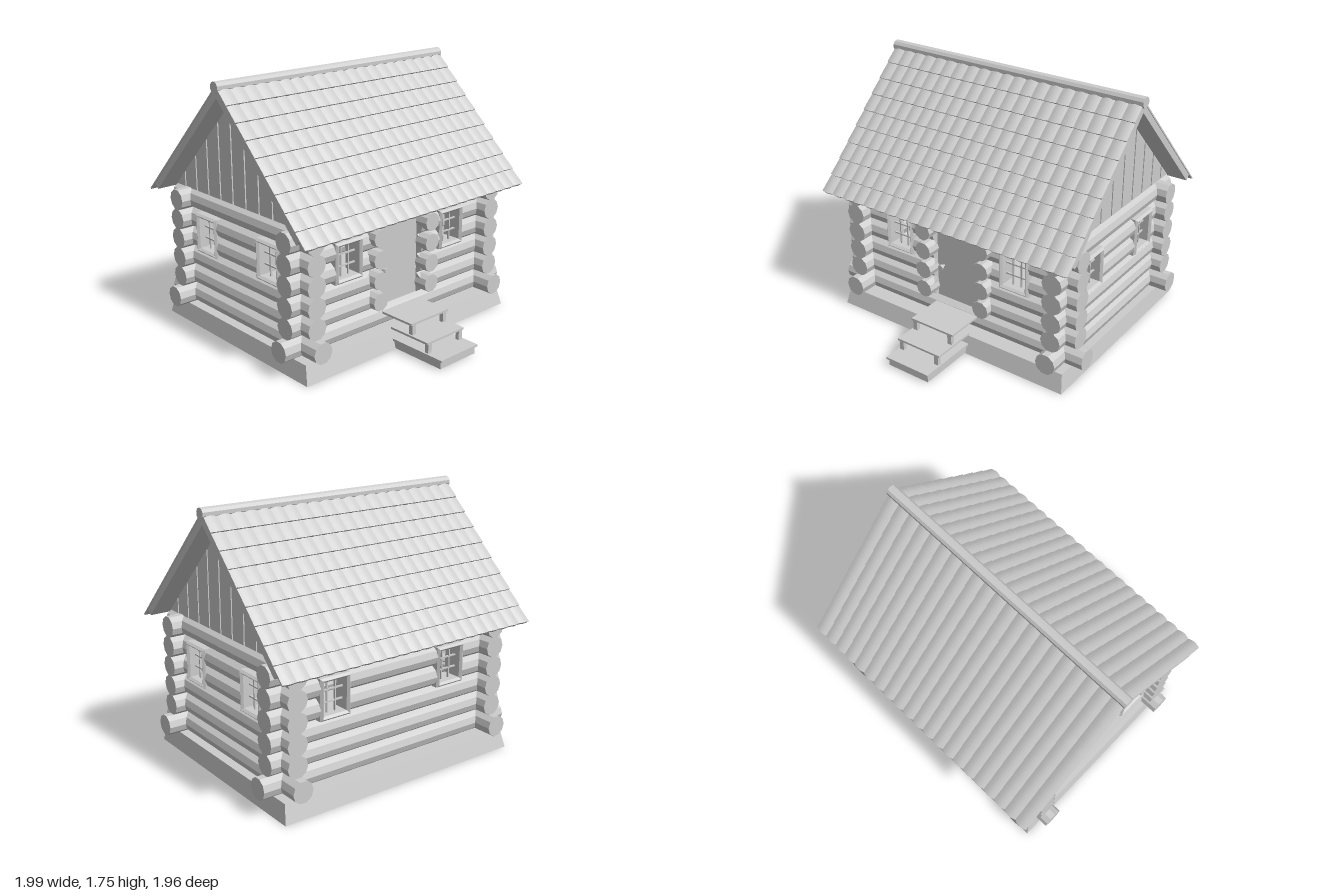
import * as THREE from 'three';

const timber = new THREE.MeshStandardMaterial({ color: 0xcccccc, flatShading: true });
timber.name = 'pale grey';
const shade = new THREE.MeshStandardMaterial({ color: 0x666666 });
shade.name = 'dark grey';

const CX = -0.16;                    // middle of the house in x
const WALL_X = 0.567, WALL_Z = 0.79; // wall centre lines from the middle
const LOG_R = 0.0715, PITCH = 0.136, LOG_Y = 0.188;
const APEX = 1.645;                  // underside of the roof at the ridge

function add(parent, name, geometry, x = 0, y = 0, z = 0, material = timber) {
  const mesh = new THREE.Mesh(geometry, material);
  mesh.name = name;
  mesh.position.set(x, y, z);
  parent.add(mesh);
  return mesh;
}

// box given by its limits
function block(parent, name, x0, x1, y0, y1, z0, z1) {
  return add(parent, name, new THREE.BoxGeometry(x1 - x0, y1 - y0, z1 - z0),
    (x0 + x1) / 2, (y0 + y1) / 2, (z0 + z1) / 2);
}

// log lying along x from a to b
function log(parent, name, a, b, y, z = 0, r = LOG_R) {
  const g = new THREE.CylinderGeometry(r, r, b - a, 10).rotateZ(Math.PI / 2);
  return add(parent, name, g, (a + b) / 2, y, z);
}

// deep window frame with chamfered edges and glazing bars, facing +z
function makeWindow() {
  const g = new THREE.Group();
  g.name = 'window';
  const rect = (C, w, h) => new C([[-w, -h], [w, -h], [w, h], [-w, h]].map(p => new THREE.Vector2(...p)));
  const s = rect(THREE.Shape, 0.1, 0.122);
  s.holes.push(rect(THREE.Path, 0.1, 0.122));
  s.holes[0] = rect(THREE.Path, 0.098, 0.12);
  const frame = new THREE.ExtrudeGeometry(s, {
    depth: 0.13, bevelEnabled: true, bevelSize: 0.013, bevelThickness: 0.015, bevelSegments: 1
  });
  add(g, 'windowFrame', frame, 0, 0, -0.065);
  for (const k of [-1, 1]) {
    add(g, 'verticalBar', new THREE.BoxGeometry(0.009, 0.23, 0.012), k * 0.031, 0, 0.02);
    add(g, 'horizontalBar', new THREE.BoxGeometry(0.19, 0.009, 0.012), 0, k * 0.039, 0.02);
  }
  return g;
}

// one log wall along local x, facing local +z
function makeWall(name, half, windows, door) {
  const g = new THREE.Group();
  g.name = name;
  for (let i = 0; i < 6; i++) {
    const end = half + (i === 0 ? 0.053 : 0);
    const cuts = [];
    if (i === 3 || i === 4) windows.forEach(w => cuts.push([w - 0.1, w + 0.1]));
    if (door && i >= 1 && i <= 4) cuts.push([-0.18, 0.18]);
    cuts.sort((a, b) => a[0] - b[0]);
    let start = -end;
    for (const [a, b] of [...cuts, [end, end]]) {
      log(g, 'wallLog', start, a, LOG_Y + i * PITCH);
      start = b;
    }
  }
  for (const w of windows) {
    const win = makeWindow();
    win.position.set(w, 0.66, 0);
    g.add(win);
  }
  return g;
}

// vertical gable boards over a dark backing, facing +z
function makeGable() {
  const g = new THREE.Group();
  g.name = 'gable';
  const roofY = x => APEX - Math.abs(x - CX);
  const panel = (name, a, b, depth, z, mat) => {
    const p = [[a, 0.932], [b, 0.932], [b, roofY(b)]];
    if (a < CX && b > CX) p.push([CX, APEX]);
    p.push([a, roofY(a)]);
    const s = new THREE.Shape(p.map(q => new THREE.Vector2(...q)));
    add(g, name, new THREE.ExtrudeGeometry(s, { depth, bevelEnabled: false }), 0, 0, z, mat);
  };
  panel('gableBacking', -0.865, 0.545, 0.02, 0.775, shade);
  const edges = [-0.87];
  for (let i = 0; i < 10; i++) edges.push(-0.765 + i * 0.135);
  edges.push(0.55);
  for (let i = 0; i < 11; i++)
    panel('gableBoard', edges[i] + 0.006, edges[i + 1] - 0.006, 0.025, 0.795, timber);
  return g;
}

// one roof slope: local x runs down the slope, local y is its normal
function makeSlope() {
  const g = new THREE.Group();
  g.name = 'roofSlope';
  block(g, 'roofBoards', -0.04, 1.035, 0, 0.045, -0.96, 0.96);
  block(g, 'tileBase', -0.04, 1.105, 0.045, 0.055, -0.965, 0.965);
  const cols = 21, seg = 6, width = 1.935, len = 0.126;
  for (let c = 0; c < 9; c++) {
    const geo = new THREE.PlaneGeometry(3, width, 3, cols * seg).rotateX(-Math.PI / 2);
    const p = geo.attributes.position, u0 = -0.024 + c * len;
    for (let i = 0; i < p.count; i++) {
      const col = Math.round(p.getX(i) + 1.5);
      const t = (Math.floor(i / 4) % seg) / seg;
      const arch = Math.sin(Math.PI * t);
      const round = 0.006 * arch;      // rounded lower edge
      const u = [u0, u0 + len * 0.5, u0 + len - 0.004 + round, u0 + len - 0.004 + round][col];
      const h = [0.002, 0.007, 0.011, 0][col] + (col < 3 ? 0.009 * arch : 0);
      p.setX(i, u);
      p.setY(i, 0.055 + h);
    }
    geo.computeVertexNormals();
    add(g, 'tileCourse', geo);
  }
  g.rotation.z = -Math.PI / 4;
  return g;
}

export function createModel() {
  const house = new THREE.Group();
  house.name = 'logCabin';

  // tapered foundation
  const base = new THREE.BoxGeometry(1.49, 0.122, 1.81);
  const bp = base.attributes.position;
  for (let i = 0; i < bp.count; i++) if (bp.getY(i) > 0) {
    bp.setX(i, bp.getX(i) * 0.954);
    bp.setZ(i, bp.getZ(i) * 0.978);
  }
  base.computeVertexNormals();
  add(house, 'foundation', base, CX, 0.061, 0);

  // walls
  const walls = [
    ['frontWall', 0.71, [-0.324, 0.326], false, CX, WALL_Z, 0],
    ['backWall', 0.71, [-0.326, 0.324], false, CX, -WALL_Z, Math.PI],
    ['doorWall', 0.925, [-0.463, 0.463], true, CX + WALL_X, 0, Math.PI / 2],
    ['plainWall', 0.925, [-0.463, 0.463], false, CX - WALL_X, 0, -Math.PI / 2]
  ];
  for (const [name, half, windows, door, x, z, turn] of walls) {
    const w = makeWall(name, half, windows, door);
    w.position.set(x, 0, z);
    w.rotation.y = turn;
    house.add(w);
  }

  // door with log stubs beside it
  block(house, 'door', 0.385, 0.425, 0.235, 0.805, -0.18, 0.18);
  add(house, 'knobStem', new THREE.CylinderGeometry(0.008, 0.008, 0.03, 8).rotateZ(Math.PI / 2), 0.437, 0.497, 0.13);
  add(house, 'doorKnob', new THREE.CylinderGeometry(0.019, 0.019, 0.018, 8).rotateZ(Math.PI / 2), 0.458, 0.497, 0.13);
  for (const side of [-1, 1])
    for (let i = 0; i < 4; i++)
      log(house, 'doorStub', 0.29, 0.52, 0.328 + i * 0.144, side * 0.232, 0.062);

  // steps: treads carried on small posts
  block(house, 'stepBase', 0.5, 0.975, 0.005, 0.06, -0.16, 0.16);
  const treads = [[0.5, 0.99, 0.07], [0.55, 0.87, 0.147], [0.45, 0.73, 0.228]];
  treads.forEach(([a, b, top], i) => {
    block(house, 'tread', a, b, top - 0.014, top, -0.17, 0.17);
    if (i > 0) for (const s of [-1, 1])
      block(house, 'stepPost', b - 0.03, b - 0.002, treads[i - 1][2], top - 0.014, s * 0.142 - 0.016, s * 0.142 + 0.016);
  });

  // gables and roof, mirrored by a half turn
  for (const side of [0, 1]) {
    const gable = makeGable();
    if (side) {
      gable.rotation.y = Math.PI;
      gable.position.x = 2 * CX;
    }
    house.add(gable);
    const half = new THREE.Group();
    half.name = 'roofHalf';
    half.position.set(CX, APEX, 0);
    half.rotation.y = side * Math.PI;
    half.add(makeSlope());
    house.add(half);
  }
  add(house, 'ridgeLog', new THREE.CylinderGeometry(0.038, 0.038, 1.95, 10).rotateX(Math.PI / 2), CX, 1.712, 0);

  return house;
}
